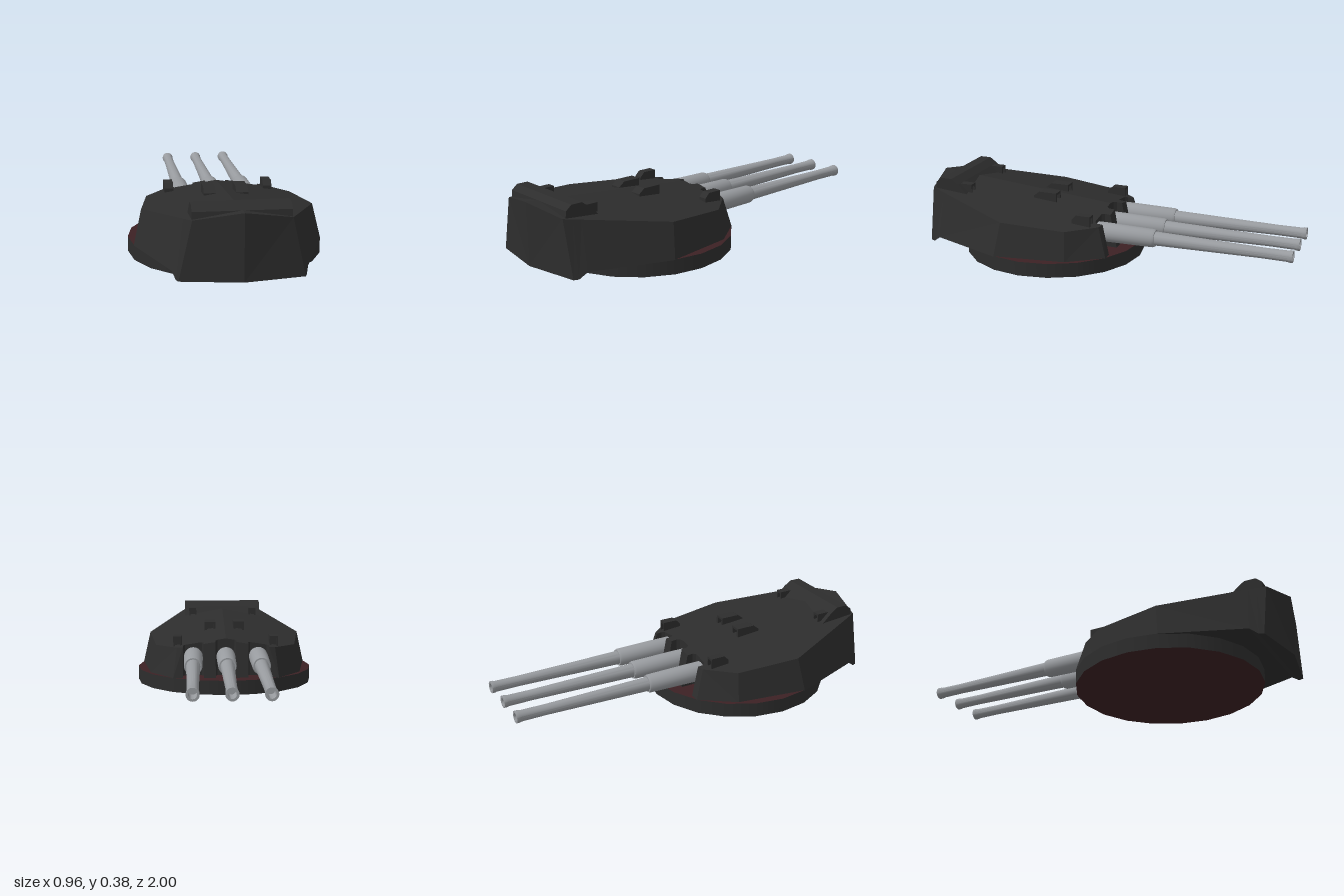
import * as THREE from 'three';
import { toCreasedNormals } from 'three/addons/utils/BufferGeometryUtils.js';

const paint = (name, color) => {
  const m = new THREE.MeshStandardMaterial({ color });
  m.name = name;
  return m;
};

// Height of the sloping, ridged roof at a point in plan
const roofY = (x, z) => 0.362 - 0.09 * (1 - z) - 0.155 * Math.abs(x);

// Half outline of the gunhouse, front centre to rear centre:
// [top x, top z, bottom x, bottom z, bottom y]
const FLOOR = 0.073;
const slotPoint = (x, z, zb = z) => [x, z, x, zb, FLOOR];
const outline = [
  slotPoint(0, 0.015), slotPoint(0.045, 0.015), slotPoint(0.055, 0),
  slotPoint(0.055, -0.03, -0.065), slotPoint(0.118, -0.03, -0.065),
  slotPoint(0.118, 0), slotPoint(0.128, 0.015), slotPoint(0.218, 0.015),
  slotPoint(0.228, 0), slotPoint(0.228, -0.03, -0.065),
  [0.26, -0.02, 0.28, -0.065, FLOOR],
  [0.375, 0.12, 0.405, 0.11, FLOOR],
  [0.42, 0.455, 0.46, 0.48, FLOOR],
  [0.258, 0.868, 0.311, 0.88, FLOOR],
  [0.243, 0.905, 0.297, 0.92, 0.043],
  [0.225, 0.95, 0.287, 0.945, 0.043],
  [0, 1, 0, 0.995, 0.043],
];

function gunhouseGeometry() {
  const pos = [];
  // Each triangle is written with its mirror image
  const tri = (a, b, c) => {
    for (const p of [a, b, c]) pos.push(...p);
    for (const p of [c, b, a]) pos.push(-p[0], p[1], p[2]);
  };
  const quad = (a, b, c, d) => { tri(a, b, c); tri(a, c, d); };
  // Fill a plan contour, facing up (1) or down (-1)
  const fill = (points, facing) => {
    const flat = points.map((p) => new THREE.Vector2(p[0], p[2]));
    for (const [i, j, k] of THREE.ShapeUtils.triangulateShape(flat, [])) {
      const [a, b, c] = [points[i], points[j], points[k]];
      const up = (b[2] - a[2]) * (c[0] - a[0]) - (b[0] - a[0]) * (c[2] - a[2]);
      if (up * facing > 0) tri(a, b, c); else tri(a, c, b);
    }
  };
  const top = outline.map(([x, z]) => [x, roofY(x, z), z]);
  const bottom = outline.map(([, , x, z, y]) => [x, y, z]);

  for (let i = 0; i < top.length - 1; i++) {
    quad(top[i], top[i + 1], bottom[i + 1], bottom[i]);
  }
  fill(top, 1);
  fill([...bottom.slice(0, 14), [0, FLOOR, 0.88]], -1);

  // Underside of the rear overhang
  const [p, q, r, s] = bottom.slice(13);
  const stepTop = [0, FLOOR, 0.88], stepFoot = [0, 0.043, 0.92];
  quad(stepTop, p, q, stepFoot);
  quad(stepFoot, q, r, s);

  const g = new THREE.BufferGeometry();
  g.setAttribute('position', new THREE.Float32BufferAttribute(pos, 3));
  g.computeVertexNormals();
  return g;
}

// Prism with a side profile of [z, y] points, centred on x
function prism(profile, width, x = 0) {
  const shape = new THREE.Shape(profile.map(([z, y]) => new THREE.Vector2(z, y)));
  const g = new THREE.ExtrudeGeometry(shape, { depth: width, bevelEnabled: false });
  return g.translate(0, 0, -width / 2).rotateY(-Math.PI / 2).translate(x, 0, 0);
}

export function createModel() {
  const model = new THREE.Group();
  model.name = 'gunTurret';
  const armour = paint('dark armour', 0x2d2d2d);
  const red = paint('dark red', 0x3c2124);
  const steel = paint('gun steel', 0x989b9f);

  const add = (name, geometry, material, parent = model) => {
    const mesh = new THREE.Mesh(geometry, material);
    mesh.name = name;
    parent.add(mesh);
    return mesh;
  };

  // Rotating base ring
  const base = new THREE.CylinderGeometry(0.482, 0.482, 0.075, 20);
  add('baseRing', base, [armour, red, red]).position.set(0, 0.0375, 0.33);

  add('gunhouse', gunhouseGeometry(), armour);

  // Rangefinder housing across the rear roof
  add('rangefinder', prism([
    [0.935, 0.30], [0.93, 0.355], [0.90, 0.38], [0.84, 0.38], [0.80, 0.352], [0.745, 0.30],
  ], 0.45), armour);

  // Sighting hoods: solid core, two cheeks and a lid, open towards the guns
  const hood = (name, x, width, back, front, lidY) => {
    const group = new THREE.Group();
    group.name = name;
    const foot = lidY - 0.07, wall = width * 0.2, bevel = (back - front) * 0.25;
    const profile = (end) => [
      [back, foot], [back, lidY - 0.025], [back - bevel, lidY], [end, lidY], [end, foot],
    ];
    add('hoodCore', prism(profile(front + 0.025), width - wall, x), armour, group);
    for (const side of [-1, 1]) {
      add('hoodCheek', prism(profile(front), wall, x + side * (width - wall) / 2), armour, group);
    }
    const lid = new THREE.BoxGeometry(width - 2 * wall, 0.012, 0.03);
    add('hoodLid', lid, armour, group).position.set(x, lidY - 0.006, front + 0.015);
    model.add(group);
  };
  for (const side of [-1, 1]) {
    hood('frontHood', side * 0.257, 0.045, 0.12, 0.02, 0.285);
    hood('middleHood', side * 0.08, 0.06, 0.41, 0.28, 0.328);
    hood('rearHood', side * 0.178, 0.042, 0.82, 0.733, 0.352);
  }

  // Three guns: stepped sleeve, tapering tube, flared muzzle and bore
  const gunProfile = [
    [0, -0.02], [0.05, -0.02], [0.05, 0.06], [0.047, 0.285], [0.043, 0.297], [0.036, 0.297],
    [0.027, 0.85], [0.028, 0.975], [0.031, 0.985], [0.031, 1], [0.02, 1], [0.02, 0.9], [0, 0.9],
  ].map(([r, d]) => new THREE.Vector2(r, d));
  for (const x of [-0.173, 0, 0.173]) {
    const lathe = new THREE.LatheGeometry(gunProfile, 20).rotateX(-Math.PI / 2);
    add('gunBarrel', toCreasedNormals(lathe, 0.6), steel).position.set(x, 0.177, 0);
  }

  return model;
}
